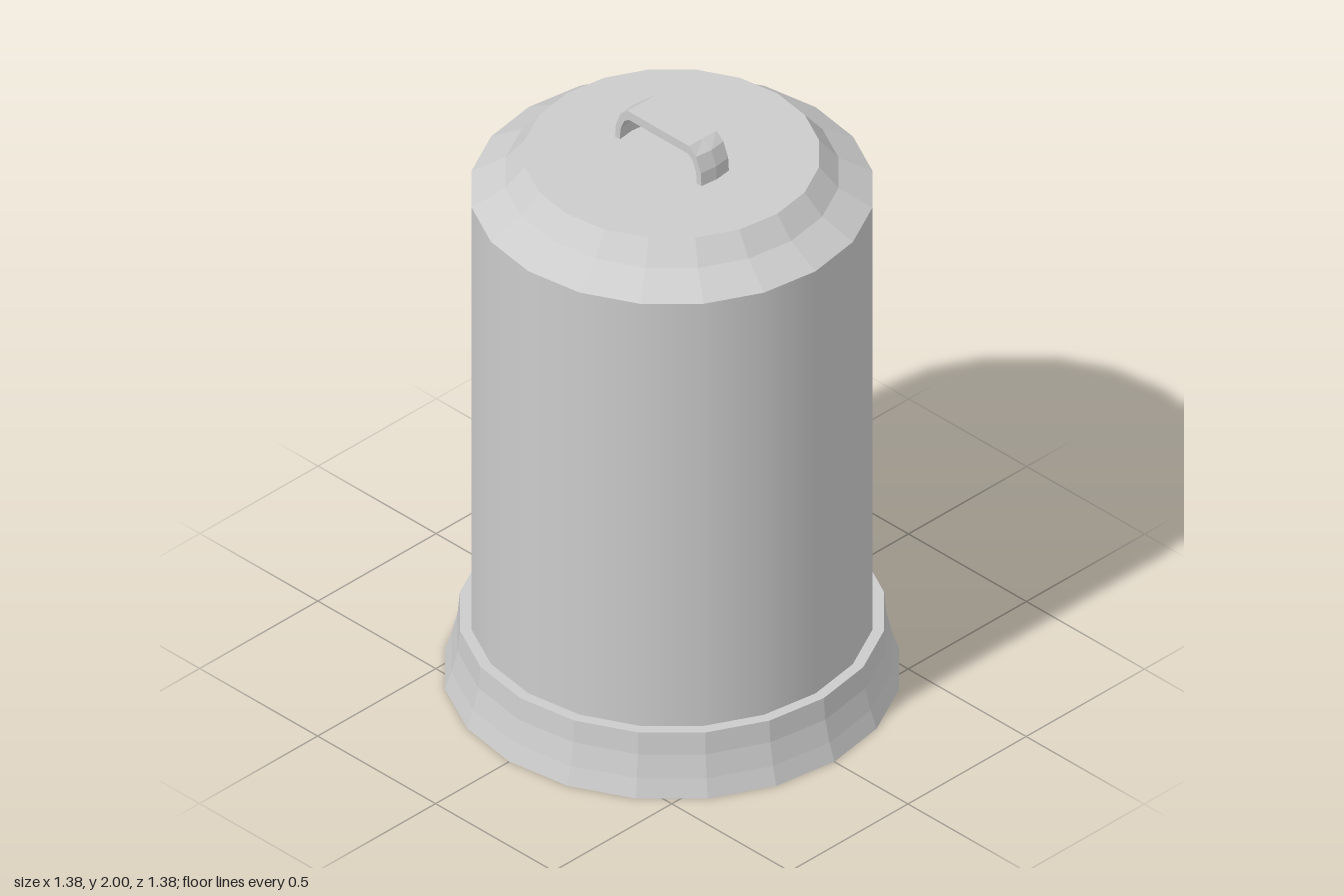
import * as THREE from 'three';

const SIDES = 20;

function material(flatShading) {
  return new THREE.MeshStandardMaterial({ color: 0xcccccc, flatShading, side: THREE.DoubleSide });
}

function part(name, geometry, flat = true) {
  const mesh = new THREE.Mesh(geometry, material(flat));
  mesh.name = name;
  return mesh;
}

function turned(points) {
  return new THREE.LatheGeometry(points.map(([r, y]) => new THREE.Vector2(r, y)), SIDES);
}

// Bent strap: an arch swept across its width, slightly crowned at the legs
function handleGeometry() {
  const outer = [[0.183, 1.88], [0.18, 1.925], [0.16, 1.975], [0.13, 2.0]];
  const inner = [[0.125, 1.97], [0.145, 1.955], [0.16, 1.92], [0.163, 1.88]];
  const half = [...outer, ...inner];
  const mirror = (list) => list.map(([z, y]) => [-z, y]).reverse();
  const outline = [...outer, ...mirror(outer), ...mirror(inner), ...inner];
  const width = 0.116;
  const geometry = new THREE.ExtrudeGeometry(
    new THREE.Shape(outline.map(([z, y]) => new THREE.Vector2(z, y))),
    { depth: width, steps: 2, bevelEnabled: false }
  );
  geometry.translate(0, 0, -width / 2);
  geometry.rotateY(Math.PI / 2);
  const pos = geometry.attributes.position;
  for (let i = 0; i < pos.count; i++) {
    const z = pos.getZ(i);
    if (Math.abs(pos.getX(i)) < 0.01 && Math.abs(z) > 0.14) pos.setZ(i, z + Math.sign(z) * 0.007);
  }
  geometry.computeVertexNormals();
  return geometry;
}

export function createModel() {
  const model = new THREE.Group();
  model.name = 'lidded bin';

  // Smooth open-ended drum
  const body = part('body', new THREE.CylinderGeometry(0.608, 0.608, 1.54, SIDES, 1, true), false);
  body.position.y = 0.98;

  // Flared skirt with a narrow ledge meeting the drum
  const base = part('flaredBase', turned([
    [0.688, 0], [0.668, 0.06], [0.65, 0.135], [0.643, 0.21], [0.608, 0.21],
  ]));

  // Sloped lid with a flat top
  const lid = part('lid', turned([[0.608, 1.75], [0.505, 1.81], [0.446, 1.88], [0, 1.88]]));

  model.add(body, base, lid, part('handle', handleGeometry()));
  return model;
}
